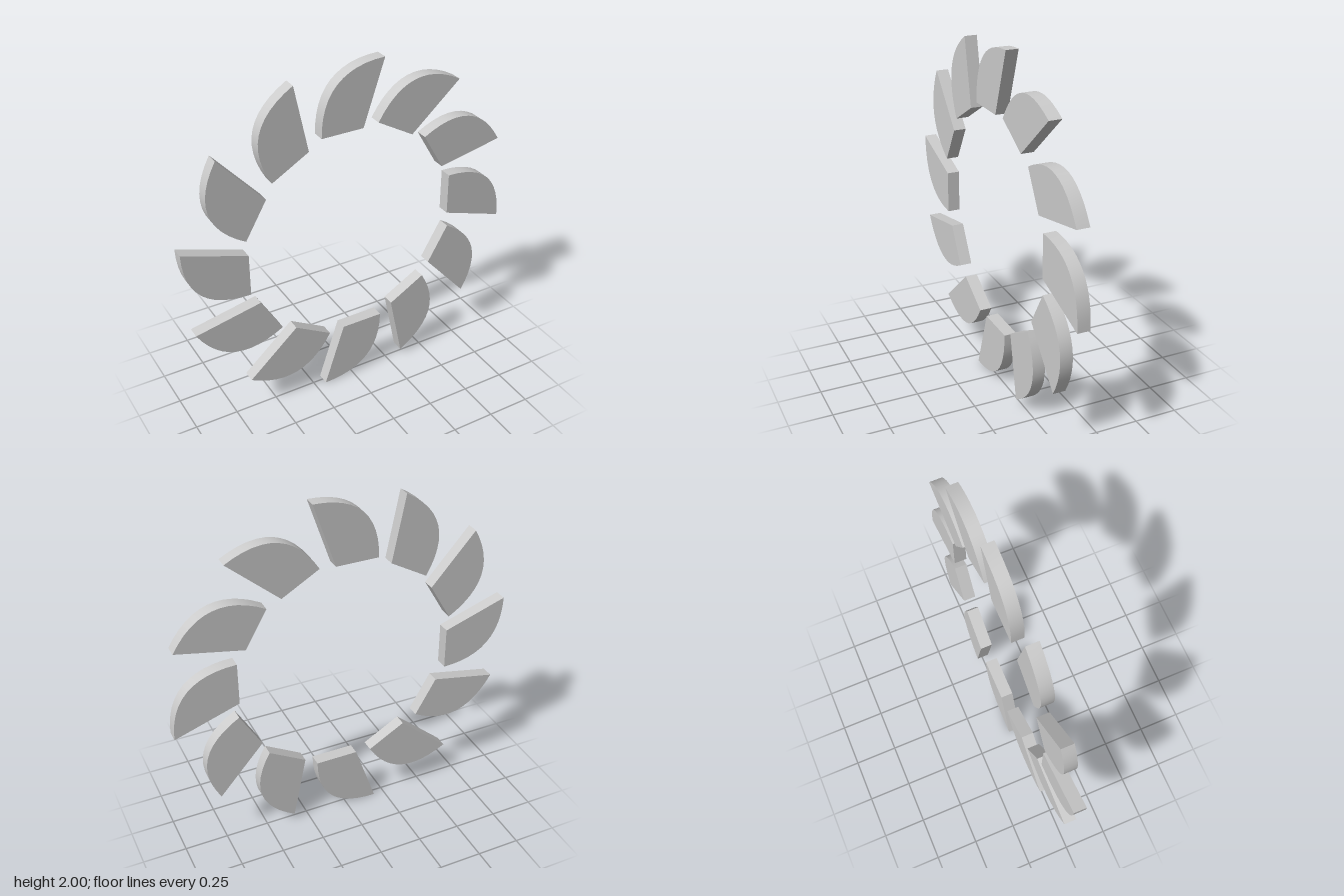
import * as THREE from 'three';
import { toCreasedNormals } from 'three/addons/utils/BufferGeometryUtils.js';

const BLADES = 12;
const DEPTH = 0.072;

// One blade: flat foot, slanted straight edge, rounded outer corner
function bladeGeometry() {
  const half = 0.186, inner = 0.629, outer = 1.0;
  const shape = new THREE.Shape();
  shape.moveTo(-half, inner);
  shape.lineTo(0.062, inner);
  shape.lineTo(half, outer);
  shape.quadraticCurveTo(-half, outer, -half, inner);
  const geometry = new THREE.ExtrudeGeometry(shape, {
    depth: DEPTH, bevelEnabled: false, curveSegments: 12,
  });
  geometry.translate(0, 0, -DEPTH / 2);
  return toCreasedNormals(geometry, Math.PI / 6);
}

export function createModel() {
  const model = new THREE.Group();
  model.name = 'bladeRing';
  const material = new THREE.MeshStandardMaterial({ color: 0xcccccc });
  const geometry = bladeGeometry();

  // Ring of identical blades around the centre
  for (let i = 0; i < BLADES; i++) {
    const blade = new THREE.Mesh(geometry, material);
    blade.name = `blade${i + 1}`;
    blade.position.y = 1;
    blade.rotation.z = -(i / BLADES) * Math.PI * 2;
    model.add(blade);
  }
  return model;
}
